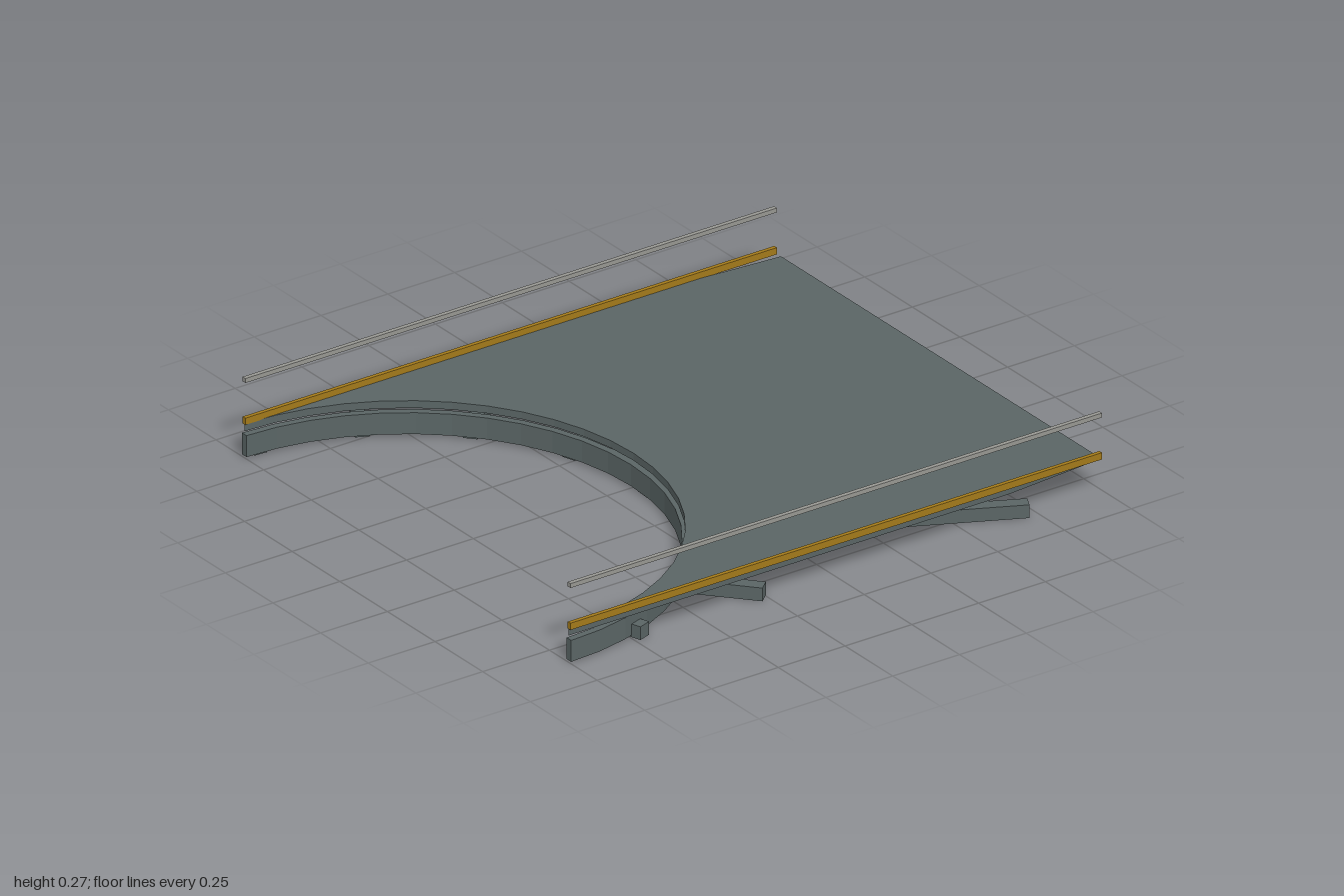
import * as THREE from 'three';

export function createModel() {
  const model = new THREE.Group();
  const mat = (name, color) => Object.assign(new THREE.MeshStandardMaterial({ color }), { name });
  const steel = mat('steel', 0x5a6565);
  const gold = mat('gold trim', 0xa37a1a);
  const railGrey = mat('rail grey', 0x979792);

  const CX = -1; // centre of the round opening, on the x axis
  const STEPS = 24;

  // points of a half circle about the opening centre, from -z to +z
  const arc = (r) => Array.from({ length: STEPS + 1 }, (_, i) => {
    const a = -Math.PI / 2 + (Math.PI * i) / STEPS;
    return new THREE.Vector2(CX + r * Math.cos(a), r * Math.sin(a));
  });

  // flat plate drawn in x/z, spanning bottom to top
  function plate(name, points, bottom, top) {
    const geo = new THREE.ExtrudeGeometry(new THREE.Shape(points), { depth: top - bottom, bevelEnabled: false });
    geo.rotateX(Math.PI / 2);
    const mesh = new THREE.Mesh(geo, steel);
    mesh.name = name;
    mesh.position.y = top;
    model.add(mesh);
  }

  function box(name, size, pos, material, yaw = 0) {
    const mesh = new THREE.Mesh(new THREE.BoxGeometry(...size), material);
    mesh.name = name;
    mesh.position.set(...pos);
    mesh.rotation.y = yaw;
    model.add(mesh);
  }

  // deck with a half-round cut-out and slightly tapered outer corners
  const v = (x, z) => new THREE.Vector2(x, z);
  plate('deck', [...arc(0.85), v(0.65, 0.85), v(0.99, 0.82), v(0.99, -0.825), v(0.65, -0.85)], 0.091, 0.116);

  // curved girder under the edge of the cut-out
  plate('ringGirder', [...arc(0.864), ...arc(0.84).reverse()], 0.007, 0.08);

  // radial support beams: angle step 22.5 degrees, each with its outer radius
  const outerRadii = [0.862, 0.945, 1.29, 2.085, 1.99, 1.92, 1.12, 0.895];
  const inner = 0.845;
  outerRadii.forEach((outer, i) => {
    const a = THREE.MathUtils.degToRad(3.8 + 22.5 * (i - 4));
    const mid = (inner + outer) / 2;
    box('radialBeam', [outer - inner, 0.045, 0.045],
      [CX + mid * Math.cos(a), 0.0225, mid * Math.sin(a)], steel, -a);
  });

  // gold kerb and floating handrail along both sides
  for (const side of [1, -1]) {
    box('kerb', [1.99, 0.023, 0.014], [-0.005, 0.1255, side * 0.853], gold);
    box('handrail', [1.99, 0.015, 0.015], [-0.005, 0.265, side * 0.853], railGrey);
  }

  return model;
}
